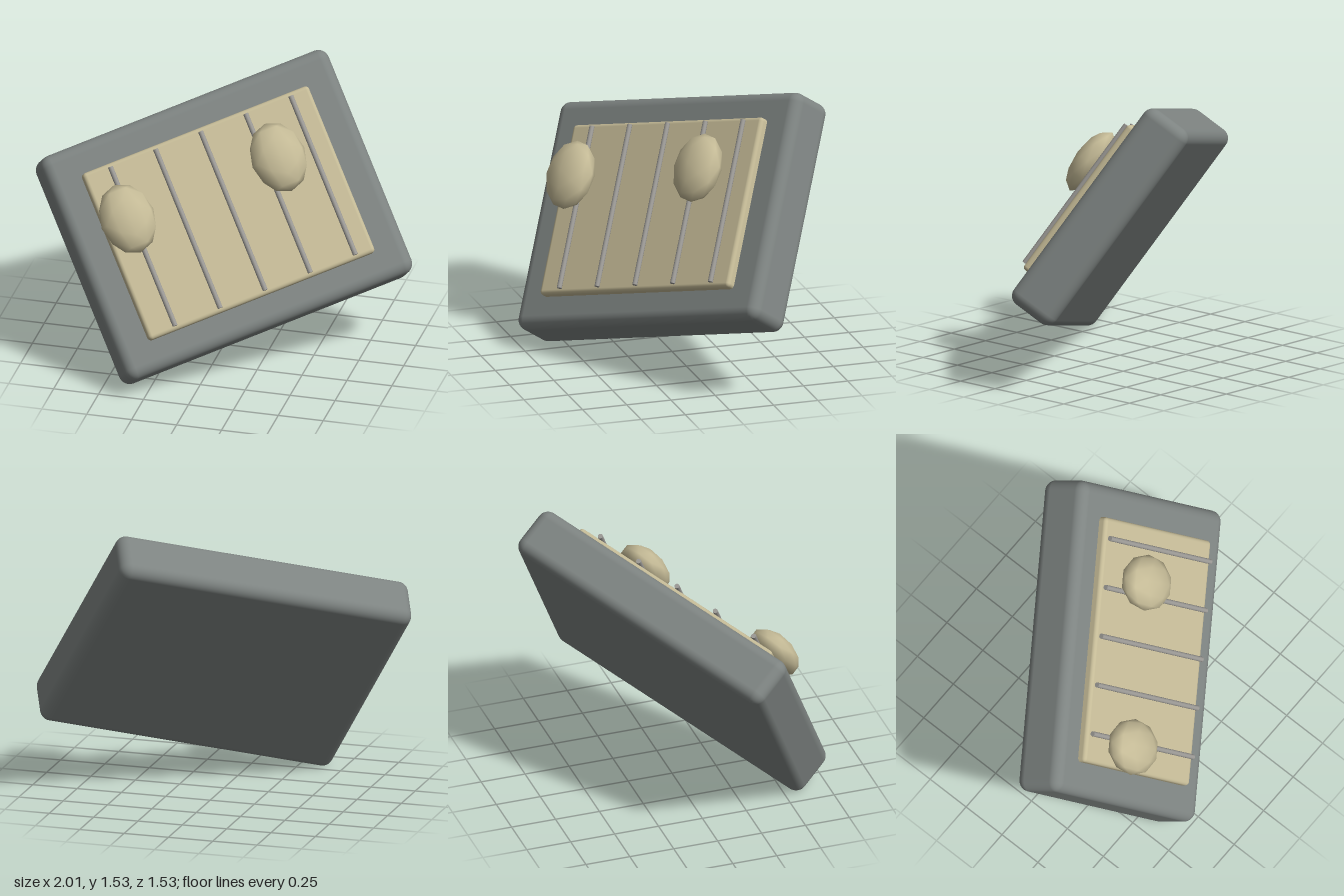
import * as THREE from 'three';
import { RoundedBoxGeometry } from 'three/addons/geometries/RoundedBoxGeometry.js';

function material(name, color) {
  const m = new THREE.MeshStandardMaterial({ color });
  m.name = name;
  return m;
}

export function createModel() {
  const slate = material('slate grey', 0x7d8381);
  const sand = material('sand', 0xc4ba96);
  const steel = material('steel grey', 0x9c9a96);

  const model = new THREE.Group();
  model.name = 'tiltedTray';

  // The tray is built lying in its own plane: x along, y across, z outwards
  const tray = new THREE.Group();
  tray.name = 'tray';
  model.add(tray);

  function add(name, geometry, mat, x, y, z) {
    const mesh = new THREE.Mesh(geometry, mat);
    mesh.name = name;
    mesh.position.set(x, y, z);
    tray.add(mesh);
    return mesh;
  }

  // Heavy rounded base and the raised panel on its face
  add('base', new RoundedBoxGeometry(1.69, 1.30, 0.286, 4, 0.06), slate, 0, 0, 0);
  add('panel', new RoundedBoxGeometry(1.33, 0.97, 0.08, 3, 0.022), sand, 0, 0, 0.15);

  // Five parallel bars
  const bar = new THREE.CylinderGeometry(0.014, 0.014, 0.925, 10);
  for (let i = -2; i <= 2; i++) add('bar', bar, steel, 0.02 + i * 0.265, 0, 0.208);

  // Two flattened lumps resting on the bars
  const lump = new THREE.IcosahedronGeometry(1, 1).scale(0.152, 0.195, 0.09);
  for (const [x, y] of [[-0.541, 0.165], [0.35, 0.175]]) add('lump', lump, sand, x, y, 0.266);

  // Tilt the whole tray
  const along = new THREE.Vector3(0.802, 0.242, -0.545).normalize();
  const out = new THREE.Vector3().crossVectors(along, new THREE.Vector3(-0.478, 0.80, -0.363)).normalize();
  const across = new THREE.Vector3().crossVectors(out, along);
  tray.quaternion.setFromRotationMatrix(new THREE.Matrix4().makeBasis(along, across, out));
  tray.position.y = 0.767;
  return model;
}
